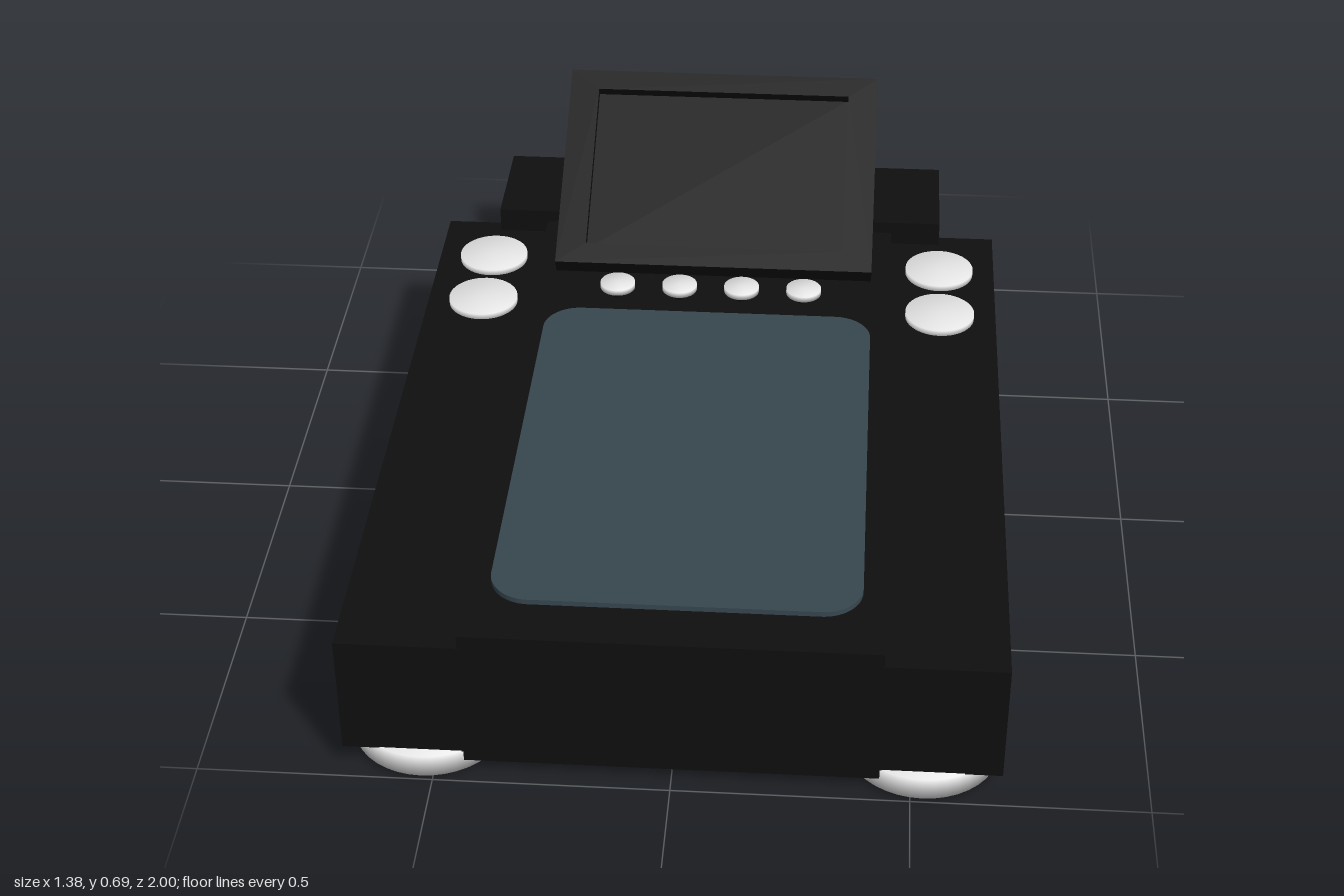
import * as THREE from 'three';
import { mergeVertices } from 'three/addons/utils/BufferGeometryUtils.js';

const material = (name, color) => {
  const m = new THREE.MeshStandardMaterial({ color });
  m.name = name;
  return m;
};

export function createModel() {
  const model = new THREE.Group();
  model.name = 'handheldDevice';
  const black = material('black casing', 0x0f0f0f);
  const white = material('white buttons', 0xe6e6e6);
  const teal = material('slate screen', 0x37474f);

  const add = (parent, name, geometry, mat) => {
    const mesh = new THREE.Mesh(geometry, mat);
    mesh.name = name;
    parent.add(mesh);
    return mesh;
  };

  // Box given by its min and max corners
  const box = (parent, name, x0, x1, y0, y1, z0, z1) => {
    const g = new THREE.BoxGeometry(x1 - x0, y1 - y0, z1 - z0);
    g.translate((x0 + x1) / 2, (y0 + y1) / 2, (z0 + z1) / 2);
    return add(parent, name, g, black);
  };

  // Soft-shaded disc standing from y0 to y1
  const disc = (name, r, x, z, y0, y1) => {
    let g = new THREE.CylinderGeometry(r, r, y1 - y0, 40);
    g.deleteAttribute('normal');
    g.deleteAttribute('uv');
    g = mergeVertices(g);
    g.computeVertexNormals();
    g.translate(x, (y0 + y1) / 2, z);
    add(model, name, g, white);
  };

  // Casing: thicker centre spine, lower side wings, rear block
  box(model, 'centreBody', -0.435, 0.435, 0.035, 0.37, -0.7, 0.973);
  box(model, 'rearBlock', -0.555, 0.555, 0, 0.4, -0.94, -0.665);
  for (const [side, s] of [['left', 1], ['right', -1]]) {
    box(model, side + 'Wing', Math.min(s * 0.43, s * 0.69), Math.max(s * 0.43, s * 0.69),
      0.06, 0.34, -0.7, 0.975);
    for (const z of [-0.53, -0.33]) disc(side + 'RoundButton', 0.083, s * 0.555, z, 0.335, 0.354);
    for (const z of [0.835, -0.555]) disc(side + 'Foot', 0.165, s * 0.525, z, 0.01, 0.062);
  }

  // Row of four small buttons on thin stems
  for (const x of [-0.225, -0.075, 0.075, 0.225]) {
    disc('smallButton', 0.042, x, -0.33, 0.395, 0.409);
    const stem = new THREE.CylinderGeometry(0.012, 0.012, 0.04, 12);
    stem.translate(x, 0.38, -0.33);
    add(model, 'smallButtonStem', stem, black);
  }

  // Rounded touch screen plate
  const w = 0.388, h = 0.555, r = 0.085;
  const plate = new THREE.Shape();
  plate.moveTo(-w + r, -h);
  plate.absarc(w - r, -h + r, r, -Math.PI / 2, 0);
  plate.absarc(w - r, h - r, r, 0, Math.PI / 2);
  plate.absarc(-w + r, h - r, r, Math.PI / 2, Math.PI);
  plate.absarc(-w + r, -h + r, r, Math.PI, Math.PI * 1.5);
  const plateGeo = new THREE.ExtrudeGeometry(plate, { depth: 0.015, bevelEnabled: false, curveSegments: 10 });
  plateGeo.rotateX(-Math.PI / 2);
  plateGeo.translate(0, 0.367, 0.305);
  add(model, 'touchScreen', plateGeo, teal);

  // Tilted display: origin on its lower front edge, y along the normal, -z up the slope
  const display = new THREE.Group();
  display.name = 'tiltedDisplay';
  display.position.set(0, 0.41, -0.41);
  display.rotation.x = Math.PI / 6;
  model.add(display);
  const length = 0.553, lip = 0.025;
  box(display, 'displayCase', -0.387, 0.387, -0.22, -lip, -length, 0);

  // Raised frame around the recessed display face
  const rect = (T, x, y0, y1) => new T([[-x, y0], [x, y0], [x, y1], [-x, y1]].map((p) => new THREE.Vector2(...p)));
  const frame = rect(THREE.Shape, 0.387, 0, length);
  frame.holes.push(rect(THREE.Path, 0.315, 0.055, length - 0.055));
  const frameGeo = new THREE.ExtrudeGeometry(frame, { depth: lip, bevelEnabled: false });
  frameGeo.rotateX(-Math.PI / 2);
  frameGeo.translate(0, -lip, 0);
  add(display, 'displayFrame', frameGeo, black);

  return model;
}
